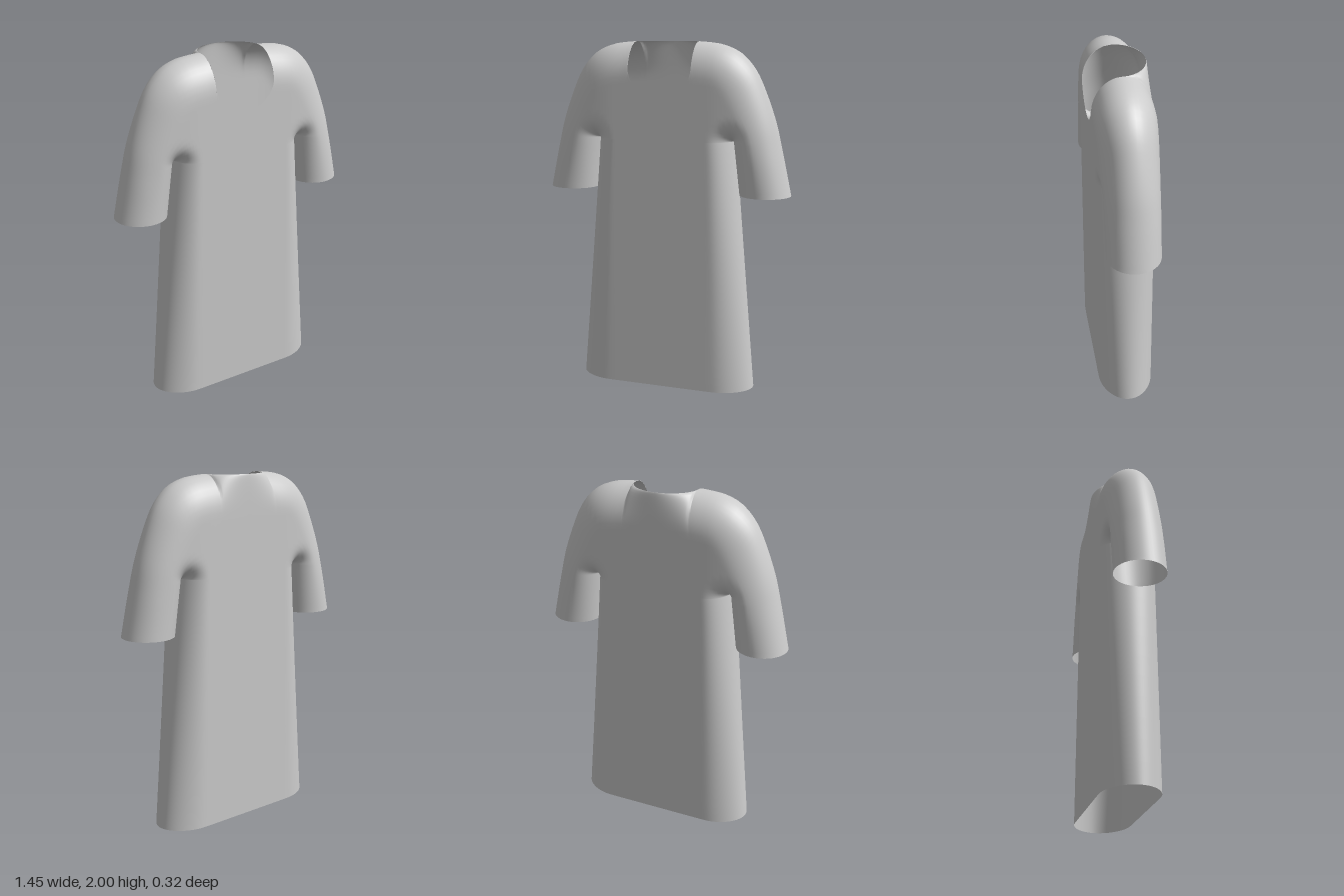
import * as THREE from 'three';
import { mergeVertices } from 'three/addons/utils/BufferGeometryUtils.js';

const V = (x, y) => new THREE.Vector2(x, y);
const { lerp, smoothstep, clamp } = THREE.MathUtils;

// Key points of one half of the garment
const ARMPIT = V(0.4, 1.45), CUFF_IN = V(0.435, 1.15), HEM = V(0.53, 0);
const NECK = 0.185, TOP = 2, DEPTH = 0.162;

// Cuff, up the outside of the sleeve, over the shoulder to the neck
const shoulder = new THREE.SplineCurve([
  V(0.725, 1.15), V(0.668, 1.41), V(0.63, 1.565), V(0.57, 1.73), V(0.51, 1.85),
  V(0.43, 1.936), V(0.345, 1.978), V(0.27, 1.993), V(NECK, TOP)]);
const outline = [...shoulder.getSpacedPoints(80), V(0, TOP)];

function segmentDistance(p, a, b) {
  const d = b.clone().sub(a);
  const t = clamp(p.clone().sub(a).dot(d) / d.lengthSq(), 0, 1);
  return p.distanceTo(a.clone().addScaledVector(d, t));
}
function outlineDistance(p) {
  let best = Infinity;
  for (let i = 1; i < outline.length; i++) best = Math.min(best, segmentDistance(p, outline[i - 1], outline[i]));
  return best;
}
// Quarter-round edge: 0 at the edge, 1 from distance r inwards
const rounded = (d, r) => Math.sqrt(1 - (1 - Math.min(d / r, 1)) ** 2);
const depthAt = (x) => DEPTH - 0.015 * smoothstep(x, 0.28, 0.6);

// Half thickness of sleeves and yoke; the back keeps its depth up to the neckline
function upperDepth(p, back) {
  let outer = rounded(outlineDistance(p), lerp(0.147, 0.2, smoothstep(p.y, 1.3, 1.8)));
  if (back && p.x < NECK) outer = 1 - (1 - outer) * (1 - 0.95 * Math.sqrt(1 - (p.x / NECK) ** 2));
  const r = lerp(0.12, 0.147, clamp((ARMPIT.y - p.y) / 0.3, 0, 1));
  return depthAt(p.x) * outer * rounded(segmentDistance(p, ARMPIT, CUFF_IN), r);
}
function bodyDepth(p) {
  const r = lerp(0.2, 0.12, p.y / ARMPIT.y);
  return depthAt(p.x) * rounded(segmentDistance(p, ARMPIT, HEM), r);
}

const SLEEVE = 10, OVER = 20, DROP = 5, SCOOP = 9, ACROSS = 22, ROWS = 12;
const YOKE = OVER + DROP + SCOOP;
const quarter = (k, n) => (k / n) * Math.PI / 2;

// Neckline: scooped in front, straight across the back
function neckPoint(k, back) {
  if (back) return V(NECK * Math.cos(quarter(k, DROP + SCOOP)), TOP);
  if (k <= DROP) return V(NECK, TOP - 0.14 * (1 - Math.cos(quarter(k, DROP))));
  const a = quarter(k - DROP, SCOOP);
  return V(NECK * Math.cos(a), TOP - 0.14 - 0.17 * Math.sin(a));
}

// Point on the sleeve and yoke: rungs from the outer edge to the inner edge
function upperPoint(i, j, back) {
  const k = i - SLEEVE;
  let outer, inner;
  if (k <= 0) {
    outer = shoulder.getPointAt(0.25 * i / SLEEVE);
    inner = CUFF_IN.clone().lerp(ARMPIT, i / SLEEVE);
  } else {
    outer = k <= OVER ? shoulder.getPointAt(0.25 + 0.75 * k / OVER) : neckPoint(k - OVER, back);
  }
  if (k >= 0) inner = V(ARMPIT.x * Math.cos(quarter(k, YOKE)), ARMPIT.y);
  const t = (1 - Math.cos(Math.PI * j / ACROSS)) / 2;
  const p = V(outer.x * (1 - t) + inner.x * t, outer.y * (1 - t) + inner.y * t);
  const z = j === 0 && k <= OVER ? 0 : upperDepth(p, back);
  return [p.x, p.y, z];
}

// Point on the flared body: rows from the armpits down to the hem
function bodyPoint(i, j) {
  const t = j / ROWS;
  const p = V(lerp(ARMPIT.x, HEM.x, t) * Math.cos(quarter(i, YOKE)), ARMPIT.y * (1 - t));
  return [p.x, p.y, bodyDepth(p)];
}

export function createModel() {
  const positions = [], indices = [];

  function addSheet(ni, nj, point, sx, sz) {
    const base = positions.length / 3;
    for (let i = 0; i <= ni; i++) for (let j = 0; j <= nj; j++) {
      const [x, y, z] = point(i, j, sz < 0);
      positions.push(sx * x, y, z < 1e-3 ? 0 : sz * z);
    }
    for (let i = 0; i < ni; i++) for (let j = 0; j < nj; j++) {
      const a = base + i * (nj + 1) + j, b = a + nj + 1;
      if (sx * sz > 0) indices.push(a, b, a + 1, b, b + 1, a + 1);
      else indices.push(a, a + 1, b, b, a + 1, b + 1);
    }
  }

  // Left and right halves, front and back, welded into one smooth cloth
  for (const sx of [1, -1]) for (const sz of [1, -1]) {
    addSheet(SLEEVE + YOKE, ACROSS, upperPoint, sx, sz);
    addSheet(YOKE, ROWS, bodyPoint, sx, sz);
  }
  let geometry = new THREE.BufferGeometry();
  geometry.setAttribute('position', new THREE.Float32BufferAttribute(positions, 3));
  geometry.setIndex(indices);
  geometry = mergeVertices(geometry, 1e-4);
  geometry.computeVertexNormals();

  const shirt = new THREE.Mesh(geometry, new THREE.MeshStandardMaterial({ color: 0xcccccc, side: THREE.DoubleSide }));
  shirt.name = 'shirt';
  const group = new THREE.Group();
  group.name = 'longShirt';
  group.add(shirt);
  return group;
}
